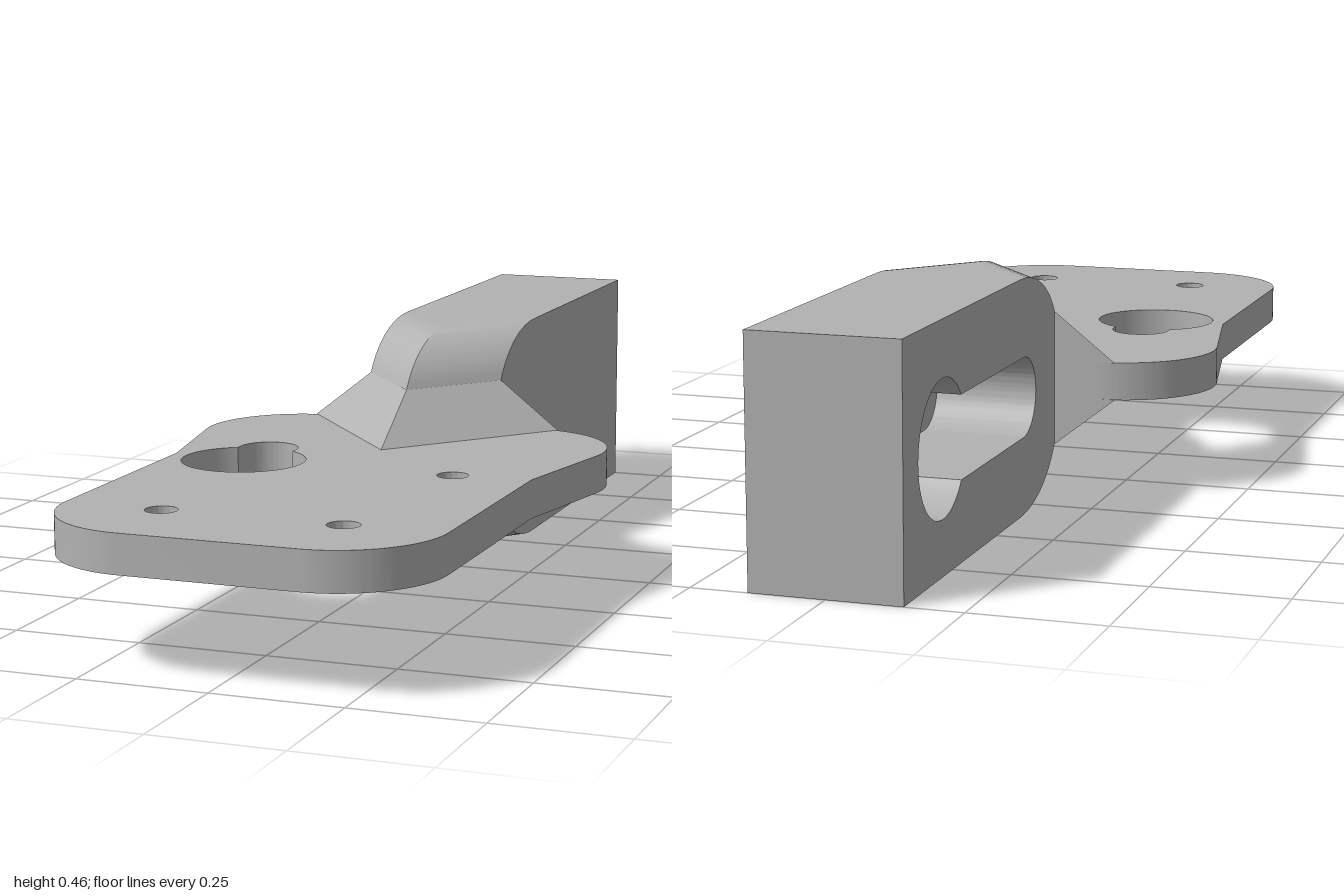
import * as THREE from 'three';
import { toCreasedNormals } from 'three/addons/utils/BufferGeometryUtils.js';
import { ConvexGeometry } from 'three/addons/geometries/ConvexGeometry.js';

const MID = 0.2285;      // height of the symmetry plane
const HALF = 0.142;      // half width of the arm
const NOSE = 0.17;       // how far the V nose runs ahead of the arm sides
const RIM = 0.1325;      // height of the gusset top above the symmetry plane

// Round hole with a narrower round-ended slot leaving it at angle t
function keyhole(path, cx, cy, R, w, len, t) {
  const a = Math.asin(w / R);
  path.absarc(cx, cy, R, t + a, t - a + Math.PI * 2, false);
  path.absarc(cx + len * Math.cos(t), cy + len * Math.sin(t), w, t - Math.PI / 2, t + Math.PI / 2, false);
  path.closePath();
  return path;
}

function extrude(shape, depth, steps = 1) {
  return new THREE.ExtrudeGeometry(shape, { depth, steps, bevelEnabled: false, curveSegments: 28 });
}

// Flat plate with rounded shoulders, three screw holes and a keyhole
function plateGeometry() {
  const s = new THREE.Shape();
  s.absarc(0.165, -0.802, 0.198, -Math.PI / 2, 0, false);
  s.lineTo(0.363, -0.34);
  s.absarc(0.225, -0.05, 0.191, -0.19, Math.PI / 2, false);
  s.absarc(-0.225, -0.05, 0.191, Math.PI / 2, Math.PI + 0.19, false);
  s.lineTo(-0.363, -0.34);
  s.absarc(-0.165, -0.802, 0.198, Math.PI, Math.PI * 1.5, false);
  s.closePath();
  for (const [x, z] of [[0.212, 0.353], [0.173, 0.808], [-0.173, 0.808]]) {
    s.holes.push(new THREE.Path().absarc(x, -z, 0.03, 0, Math.PI * 2, true));
  }
  s.holes.push(keyhole(new THREE.Path(), -0.215, -0.352, 0.12, 0.058, 0.122, Math.PI / 2));
  const g = extrude(s, 0.074);
  g.rotateX(-Math.PI / 2).translate(0, MID - 0.037, 0);
  return toCreasedNormals(g, 0.4);
}

const pocket = (path) => keyhole(path, 0.8, MID, 0.125, 0.077, 0.46, Math.PI);

// Arm: side outline extruded across x, its front pulled into a V at x = 0
function armGeometry() {
  const pts = [];
  const rise = 0.155, base = MID - rise, n = 14;
  const start = Math.asin((RIM - base) / rise);
  for (let i = 0; i <= n; i++) {
    const t = start + (Math.PI / 2 - start) * i / n;
    pts.push([0.36 - 0.237 * Math.cos(t), base + rise * Math.sin(t)]);
  }
  const bottom = pts.map(([x, y]) => new THREE.Vector2(x, MID - y));
  const top = pts.map(([x, y]) => new THREE.Vector2(x, MID + y)).reverse();
  const s = new THREE.Shape([
    ...bottom, new THREE.Vector2(1, 0), new THREE.Vector2(1, MID * 2), ...top,
  ]);
  s.holes.push(pocket(new THREE.Path()));
  const g = extrude(s, HALF * 2, 2);
  g.translate(0, 0, -HALF).rotateY(Math.PI / 2);
  const p = g.attributes.position;
  for (let i = 0; i < p.count; i++) {
    const front = p.getZ(i) > -0.365 && Math.abs(p.getY(i) - MID) > 0.1;
    if (front) p.setZ(i, p.getZ(i) + NOSE * (1 - Math.abs(p.getX(i)) / HALF));
  }
  return toCreasedNormals(g, 0.4);
}

// Solid behind the pocket, flush with the plain side of the arm
function pocketFloorGeometry() {
  const depth = 0.2;
  const g = extrude(pocket(new THREE.Shape()), HALF * 2 - depth);
  g.translate(0, 0, depth - HALF).rotateY(Math.PI / 2);
  return toCreasedNormals(g, 0.4);
}

// Sloped V gusset between plate and arm; side is +1 above, -1 below
function gussetGeometry(side) {
  const triangle = (h, tip, w) => [[0, tip], [w, -0.141], [-w, -0.141]]
    .map(([x, z]) => new THREE.Vector3(x, MID + side * h, z));
  return new ConvexGeometry([...triangle(RIM, 0.029, HALF), ...triangle(0.036, 0.175, 0.265)]);
}

export function createModel() {
  const grey = new THREE.MeshStandardMaterial({ color: 0xb2b2b2 });
  grey.name = 'grey';
  const model = new THREE.Group();
  model.name = 'bracket';
  const add = (name, geometry) => {
    const mesh = new THREE.Mesh(geometry, grey);
    mesh.name = name;
    model.add(mesh);
  };
  add('plate', plateGeometry());
  add('arm', armGeometry());
  add('pocketFloor', pocketFloorGeometry());
  add('upperGusset', gussetGeometry(1));
  add('lowerGusset', gussetGeometry(-1));
  return model;
}
